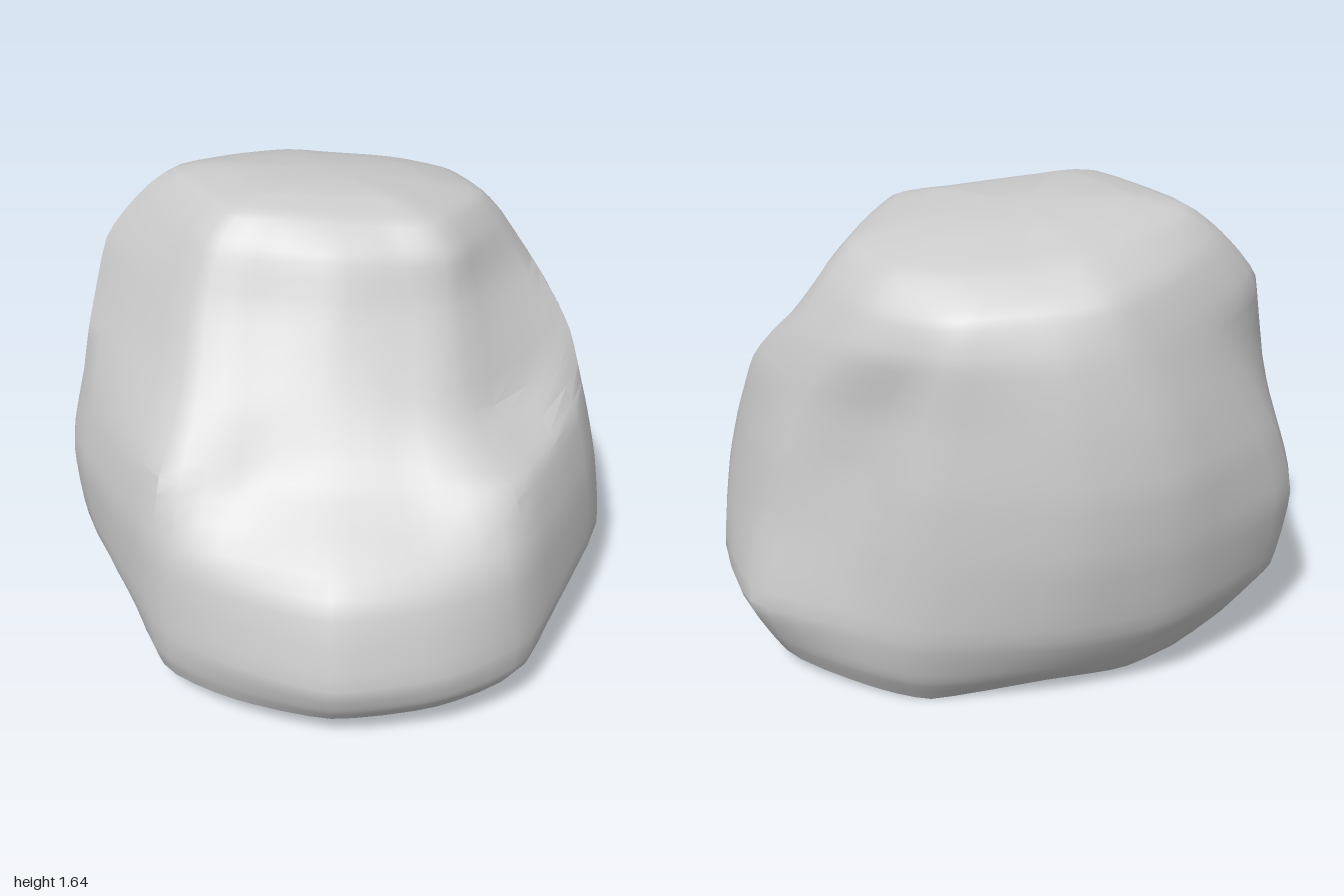
import * as THREE from 'three';
import { toCreasedNormals } from 'three/addons/utils/BufferGeometryUtils.js';

// Bearings of the boulder's corners in degrees, from the front (+z) by way of +x
const BEARINGS = [0, 22, 43, 88, 118, 140, 156, 188, 212, 242, 270, 317, 338];

// Horizontal sections: height, centre z, then the radius at each bearing
const SECTIONS = [
  [0.00, -0.05, 0.97, 0.97, 0.95, 0.84, 0.91, 0.83, 0.79, 0.67, 0.73, 0.83, 0.77, 0.89, 0.92],
  [0.11, -0.05, 1.02, 1.02, 1.00, 0.91, 0.97, 0.89, 0.87, 0.79, 0.84, 0.93, 0.85, 0.92, 0.95],
  [0.30, -0.05, 1.05, 1.04, 1.01, 1.00, 1.04, 0.92, 0.92, 0.90, 0.95, 1.05, 0.96, 0.93, 0.97],
  [0.60, -0.05, 0.95, 0.95, 0.97, 0.97, 0.97, 0.88, 0.92, 0.95, 1.00, 1.10, 0.99, 0.91, 0.90],
  [0.84, -0.10, 0.67, 0.71, 0.89, 0.92, 0.90, 0.80, 0.86, 0.90, 0.96, 1.02, 0.95, 0.87, 0.70],
  [1.06, -0.20, 0.60, 0.61, 0.70, 0.86, 0.79, 0.70, 0.74, 0.77, 0.83, 0.88, 0.92, 0.78, 0.65],
  [1.30, -0.35, 0.59, 0.59, 0.64, 0.72, 0.65, 0.59, 0.58, 0.57, 0.62, 0.69, 0.86, 0.73, 0.62],
  [1.46, -0.38, 0.53, 0.54, 0.61, 0.62, 0.57, 0.52, 0.50, 0.47, 0.52, 0.58, 0.72, 0.65, 0.56],
  [1.56, -0.37, 0.41, 0.43, 0.51, 0.52, 0.47, 0.40, 0.36, 0.33, 0.38, 0.45, 0.60, 0.54, 0.45],
  [1.605, -0.33, 0.25, 0.26, 0.31, 0.32, 0.29, 0.24, 0.21, 0.19, 0.23, 0.29, 0.40, 0.36, 0.28],
];
const CORNERS = BEARINGS.length, STEPS = 4, AROUND = CORNERS * STEPS;

// Curve from b to c, gentler than a full spline so corners stay firm
function blend(a, b, c, d, t) {
  const m0 = 0.3 * (c - a), m1 = 0.3 * (d - b);
  return b + t * (m0 + t * (3 * (c - b) - 2 * m0 - m1 + t * (2 * (b - c) + m0 + m1)));
}

// Blend the sections vertically
function sectionAt(v) {
  const last = SECTIONS.length - 1;
  const i = Math.min(Math.floor(v), last - 1);
  const row = (k) => SECTIONS[THREE.MathUtils.clamp(k, 0, last)];
  return row(i).map((_, j) => blend(row(i - 1)[j], row(i)[j], row(i + 1)[j], row(i + 2)[j], v - i));
}

// Corner points of one section as [x, z]
const cornersOf = (section) => BEARINGS.map((bearing, j) => {
  const angle = THREE.MathUtils.degToRad(bearing), r = section[2 + j];
  return [r * Math.sin(angle), section[1] + r * Math.cos(angle)];
});

// Dish the underside, slope the crown, drop the ledge on one side
function shapedHeight(x, y, z) {
  const low = Math.max(0, 1 - y / 0.3);
  const dish = 0.19 * Math.max(0, Math.hypot(x + 0.05, z + 0.3) - 0.6);
  const high = THREE.MathUtils.smoothstep(y, 1.1, 1.5);
  const ledge = Math.max(0, 1 - Math.abs(y - 1.06) / 0.24);
  const side = THREE.MathUtils.smoothstep(x, 0.1, 0.8) * THREE.MathUtils.smoothstep(z, -0.2, 0.2);
  return y + low * dish + high * (0.07 * (z + 0.35) - 0.07 * x) - 0.14 * ledge * side;
}

function boulderGeometry() {
  const positions = [], index = [];
  const add = (x, y, z) => positions.push(x, shapedHeight(x, y, z), z);
  const rings = (SECTIONS.length - 1) * STEPS + 1;
  for (let k = 0; k < rings; k++) {
    const section = sectionAt(k / STEPS);
    const corners = cornersOf(section);
    for (let j = 0; j < AROUND; j++) {
      const i = Math.floor(j / STEPS), t = (j % STEPS) / STEPS;
      const [a, b, c, d] = [-1, 0, 1, 2].map((o) => corners[(i + o + CORNERS) % CORNERS]);
      add(blend(a[0], b[0], c[0], d[0], t), section[0], blend(a[1], b[1], c[1], d[1], t));
    }
  }
  // Centres of the underside and the crown
  const bottom = rings * AROUND, top = bottom + 1;
  add(-0.1, 0, -0.4);
  add(-0.05, 1.62, -0.32);

  for (let j = 0; j < AROUND; j++) {
    const n = (j + 1) % AROUND;
    for (let k = 0; k < rings - 1; k++) {
      const a = k * AROUND + j, b = k * AROUND + n;
      index.push(a, b, b + AROUND, a, b + AROUND, a + AROUND);
    }
    const edge = (rings - 1) * AROUND;
    index.push(bottom, n, j, top, edge + j, edge + n);
  }
  const geometry = new THREE.BufferGeometry();
  geometry.setAttribute('position', new THREE.Float32BufferAttribute(positions, 3));
  geometry.setIndex(index);
  return toCreasedNormals(geometry, 0.5);
}

export function createModel() {
  const group = new THREE.Group();
  group.name = 'rock';
  const boulder = new THREE.Mesh(
    boulderGeometry(),
    new THREE.MeshStandardMaterial({ color: 0xcccccc })
  );
  boulder.name = 'boulder';
  group.add(boulder);
  return group;
}
